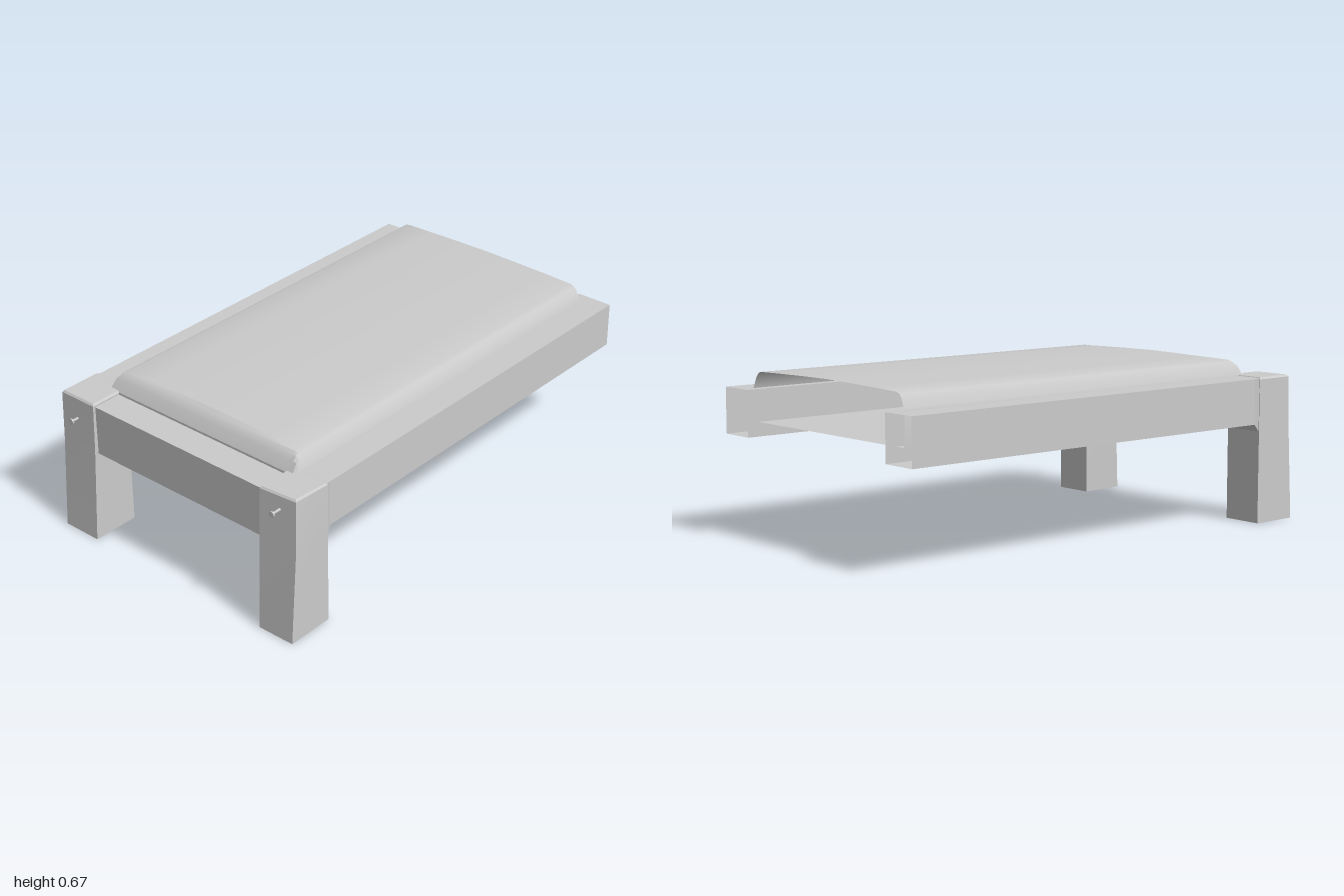
import * as THREE from 'three';
import { toCreasedNormals } from 'three/addons/utils/BufferGeometryUtils.js';

const material = new THREE.MeshStandardMaterial({ color: 0xcccccc, side: THREE.DoubleSide });

// Skins a list of cross-sections; closed joins each ring, caps fills both ends.
function loft(rings, { closed = true, caps = false, crease = 0.4 } = {}) {
  const pos = [];
  const tri = (...pts) => pts.forEach((p) => pos.push(...p));
  const n = rings[0].length;
  for (let i = 0; i < rings.length - 1; i++) {
    for (let j = 0; j < (closed ? n : n - 1); j++) {
      const k = (j + 1) % n;
      const a = rings[i][j], b = rings[i][k], c = rings[i + 1][k], d = rings[i + 1][j];
      tri(a, b, c);
      tri(a, c, d);
    }
  }
  if (caps) {
    const lo = rings[0], hi = rings[rings.length - 1];
    for (let j = 1; j < n - 1; j++) {
      tri(lo[0], lo[j + 1], lo[j]);
      tri(hi[0], hi[j], hi[j + 1]);
    }
  }
  const g = new THREE.BufferGeometry();
  g.setAttribute('position', new THREE.Float32BufferAttribute(pos, 3));
  g.computeVertexNormals();
  return toCreasedNormals(g, crease);
}

// Horizontal leg section: front edge f0..f1 at z1 (skewed back at +x), back edge x0..x1.
const legRing = (y, x0, x1, z0, z1, f0 = x0, f1 = x1, skew = 0) =>
  [[f0, y, z1], [f1, y, z1 - skew], [x1, y, z0], [x0, y, z0]];

// Upright rectangle across the length of a rail.
const upright = (z, x0, x1, y0, y1) => [[x0, y0, z], [x1, y0, z], [x1, y1, z], [x0, y1, z]];

export function createModel() {
  const model = new THREE.Group();
  const add = (name, geometry, parent = model) => {
    const mesh = new THREE.Mesh(geometry, material);
    mesh.name = name;
    parent.add(mesh);
    return mesh;
  };

  // Tapered legs with a small bevel at the top; the front of the left one is a bit twisted
  const solid = { caps: true, crease: 0.1 };
  add('rightLeg', loft([
    legRing(0, -0.602, -0.43, 0.787, 0.99),
    legRing(0.4, -0.602, -0.43, 0.787, 0.967),
    legRing(0.595, -0.602, -0.43, 0.787, 0.961),
    legRing(0.603, -0.596, -0.436, 0.793, 0.955),
  ], solid));
  add('leftLeg', loft([
    legRing(0, 0.43, 0.6, 0.787, 0.99, 0.44, 0.6, 0.002),
    legRing(0.4, 0.43, 0.6, 0.787, 0.967, 0.431, 0.6, 0.008),
    legRing(0.595, 0.43, 0.6, 0.787, 0.961, 0.43, 0.591, 0.014),
    legRing(0.603, 0.436, 0.594, 0.793, 0.955, 0.436, 0.585, 0.014),
  ], solid));

  for (const [side, s] of [['right', -1], ['left', 1]]) {
    const span = (inner, outer) => (s < 0 ? [-outer, -inner] : [inner, outer]);

    // Hollow side rail, open at the back
    const rail = [...span(0.441, 0.594), 0.41, 0.597];
    add(side + 'Rail', loft([upright(-1, ...rail), upright(0.79, ...rail)]));

    // Flared collar where the rail runs into the leg
    const flare = [...span(0.43, 0.6), 0.38, 0.6];
    add(side + 'Collar', loft([upright(0.768, ...rail), upright(0.788, ...flare)]));

    // Small peg with a flat head on the leg front
    const peg = new THREE.Group();
    peg.name = side + 'Peg';
    peg.position.set(s * 0.52, s < 0 ? 0.51 : 0.54, 0);
    model.add(peg);
    const stem = add('stem', new THREE.CylinderGeometry(0.005, 0.006, 0.06, 10), peg);
    const head = add('head', new THREE.CylinderGeometry(0.0125, 0.011, 0.008, 16), peg);
    for (const part of [stem, head]) part.rotation.x = Math.PI / 2;
    stem.position.z = 0.965;
    head.position.z = 0.996;
  }

  // Front rail between the legs
  add('frontRail', new THREE.BoxGeometry(0.88, 0.207, 0.16)).position.set(0, 0.4845, 0.87);

  // Mattress cover: a crowned profile running lengthwise, rolled over at the front
  const bottom = 0.468;
  const half = [[0.485, bottom], [0.484, 0.59], [0.476, 0.61], [0.464, 0.64],
    [0.449, 0.659], [0.432, 0.664], [0.3, 0.668], [0.15, 0.671]];
  const profile = [...half, [0, 0.673], ...half.map(([x, y]) => [-x, y]).reverse()];
  // Each station: z, height limit
  const stations = [[-0.951, 1], [0.74, 1], [0.762, 1], [0.775, 0.664], [0.787, 0.655],
    [0.802, 0.637], [0.825, 0.597], [0.83, bottom]];
  add('mattress', loft(stations.map(([z, top], i) => profile.map(([x, y]) =>
    [x, Math.min(y, top), i ? z : z + (y - bottom) * 0.05])), { closed: false, crease: 0.45 }));

  // Flat underside of the mattress
  const base = add('mattressBase', new THREE.PlaneGeometry(0.97, 1.781));
  base.rotation.x = Math.PI / 2;
  base.position.set(0, bottom, -0.0605);

  return model;
}
